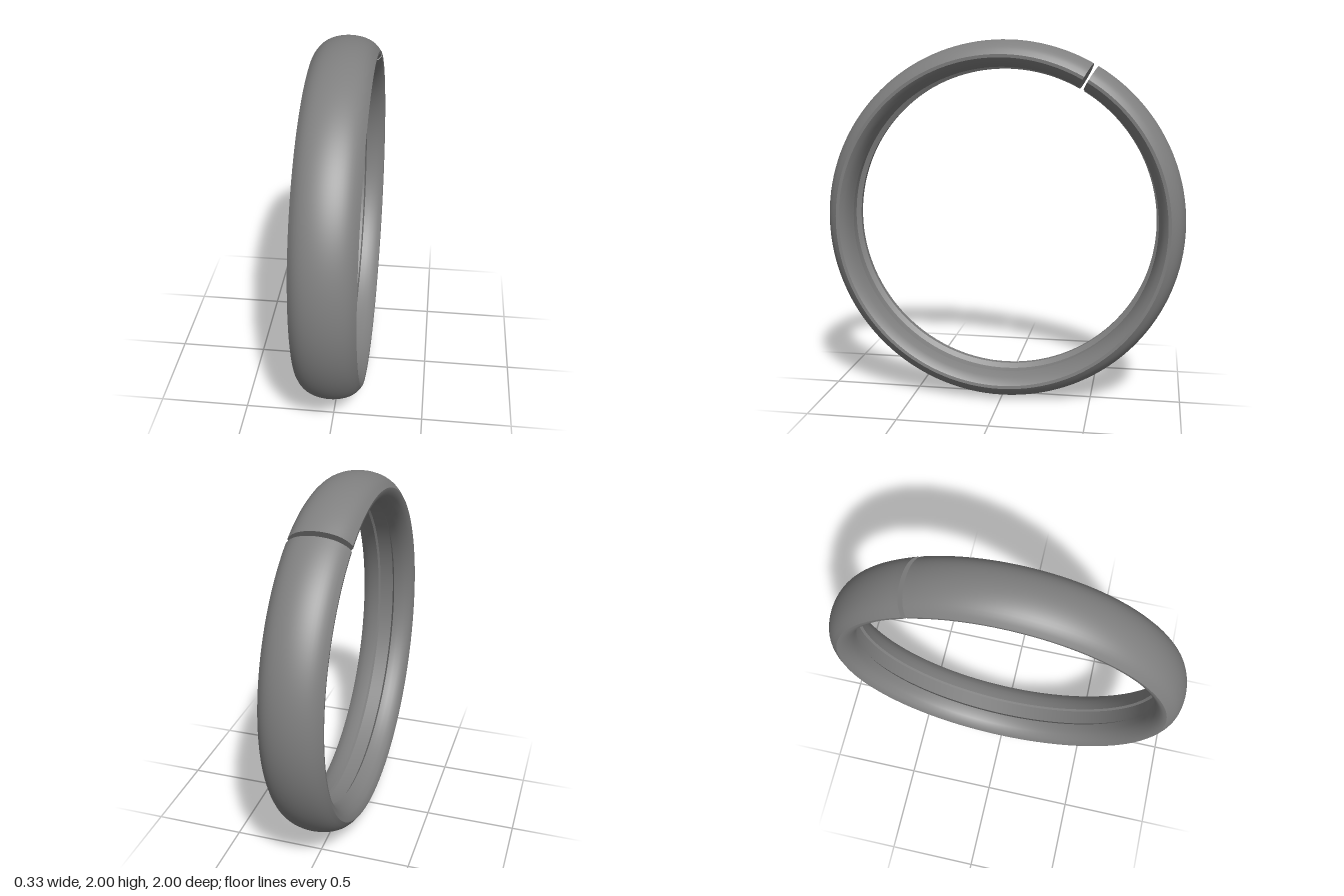
import * as THREE from 'three';
import { toCreasedNormals } from 'three/addons/utils/BufferGeometryUtils.js';

export function createModel() {
  const group = new THREE.Group();
  group.name = 'splitRing';
  const metal = new THREE.MeshStandardMaterial({ color: 0x808080 });

  // Closed cross-section as (radius, offset along the axis): crowned outside, grooved inside
  const half = 0.165;
  const profile = [];
  for (let i = 0; i <= 20; i++) {
    const t = -1 + i / 10;
    profile.push(new THREE.Vector2(1 - 0.05 * t * t - 0.028 * t ** 6, half * t));
  }
  [
    [0.905, 0.163], [0.885, 0.145], [0.87, 0.115], [0.86, 0.085], [0.855, 0.055],
    [0.868, 0.045], [0.868, -0.035],
    [0.843, -0.05], [0.846, -0.085], [0.857, -0.115], [0.878, -0.145], [0.905, -0.163],
  ].forEach(([r, a]) => profile.push(new THREE.Vector2(r, a)));

  // Swept body, leaving a narrow gap
  const gap = 0.03;
  const start = (4 * Math.PI) / 3 + gap / 2;
  const sweep = Math.PI * 2 - gap;
  const body = new THREE.LatheGeometry([...profile, profile[0].clone()], 144, start, sweep);
  const band = new THREE.Mesh(toCreasedNormals(body, 0.55), metal);
  band.name = 'band';
  group.add(band);

  // Flat faces closing both ends at the gap
  const section = new THREE.Shape(profile);
  [start, start + sweep].forEach((phi, end) => {
    const geometry = new THREE.ShapeGeometry(section);
    if (end) {
      // Reverse the corners so this face looks into the gap
      geometry.index.array.reverse();
      geometry.computeVertexNormals();
    }
    const cap = new THREE.Mesh(geometry, metal);
    cap.name = end ? 'upperEndFace' : 'lowerEndFace';
    cap.rotation.y = phi - Math.PI / 2;
    group.add(cap);
  });

  // Stand the ring upright with its axis along x
  group.rotation.z = -Math.PI / 2;
  group.position.y = 1;
  const model = new THREE.Group();
  model.name = 'ring';
  model.add(group);
  return model;
}
